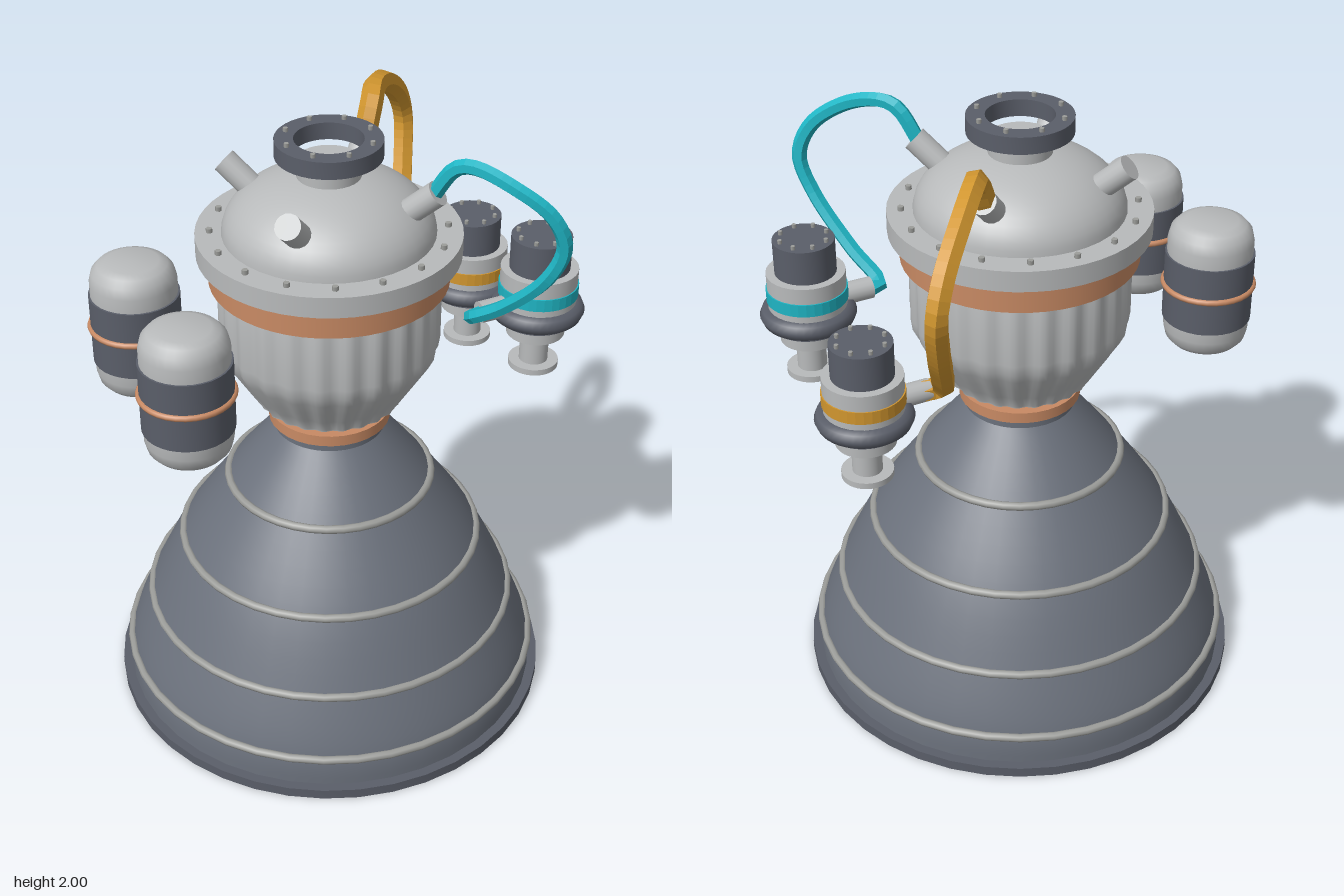
import * as THREE from 'three';
import { toCreasedNormals } from 'three/addons/utils/BufferGeometryUtils.js';

const mat = (name, color, extra = {}) => new THREE.MeshStandardMaterial({ name, color, ...extra });

export function createModel() {
  const M = {
    bell: mat('nozzle grey', 0x6b717c, { side: THREE.DoubleSide }),
    dark: mat('dark metal', 0x5a5e69),
    silver: mat('silver', 0xb8babb),
    steel: mat('steel', 0x9c9d9a),
    copper: mat('copper', 0xc88a64),
    cyan: mat('cyan', 0x1fb5c4, { flatShading: true }),
    amber: mat('amber', 0xd1962f, { flatShading: true }),
  };
  const model = new THREE.Group();
  model.name = 'rocketEngine';
  const engine = new THREE.Group();
  engine.name = 'mainEngine';
  engine.position.x = -0.025;
  model.add(engine);

  const add = (parent, name, geo, material, x = 0, y = 0, z = 0) => {
    const mesh = new THREE.Mesh(geo, material);
    mesh.name = name;
    mesh.position.set(x, y, z);
    parent.add(mesh);
    return mesh;
  };
  // Upright cylinder between two heights
  const cyl = (parent, name, r, y0, y1, material, rBottom = r, seg = 32) =>
    add(parent, name, new THREE.CylinderGeometry(r, rBottom, y1 - y0, seg), material, 0, (y0 + y1) / 2, 0);
  const lathe = (pts, seg = 40, crease = 0.6) =>
    toCreasedNormals(new THREE.LatheGeometry(pts.map(([r, y]) => new THREE.Vector2(r, y)), seg), crease);
  const hoop = (parent, name, r, tube, y, material, seg = 40) => {
    const mesh = add(parent, name, new THREE.TorusGeometry(r, tube, 8, seg), material, 0, y, 0);
    mesh.rotation.x = Math.PI / 2;
    return mesh;
  };
  const bolts = (parent, name, count, radius, y, r, h) => {
    for (let i = 0; i < count; i++) {
      const a = (i / count) * Math.PI * 2;
      add(parent, name, new THREE.CylinderGeometry(r, r, h, 6), M.steel,
        radius * Math.cos(a), y + h / 2, radius * Math.sin(a));
    }
  };
  const rod = (parent, name, from, to, r, material) => {
    const a = new THREE.Vector3(...from), b = new THREE.Vector3(...to);
    const d = b.clone().sub(a);
    const mesh = add(parent, name, new THREE.CylinderGeometry(r, r, d.length(), 16), material);
    mesh.position.copy(a).add(b).multiplyScalar(0.5);
    mesh.quaternion.setFromUnitVectors(new THREE.Vector3(0, 1, 0), d.normalize());
  };

  // Nozzle bell, open at the bottom
  const bellCurve = new THREE.SplineCurve([[0.7, 0.02], [0.687, 0.14], [0.61, 0.33], [0.493, 0.56],
    [0.333, 0.79], [0.18, 0.985]].map(([x, y]) => new THREE.Vector2(x, y)));
  const bellPts = bellCurve.getPoints(24).map((p) => [p.x, p.y]);
  add(engine, 'nozzleBell', lathe([...bellPts, [0.18, 1.015], [0.1, 1.015]]), M.bell);
  add(engine, 'nozzleLip', lathe([[0.685, 0], [0.73, 0], [0.73, 0.035], [0.685, 0.035], [0.685, 0]]), M.dark);
  for (const [r, y] of [[0.692, 0.135], [0.61, 0.33], [0.493, 0.56], [0.333, 0.79]])
    hoop(engine, 'nozzleHoop', r, 0.014, y, M.steel);

  // Copper throat
  cyl(engine, 'throatRing', 0.196, 1.015, 1.052, M.copper);
  cyl(engine, 'throatCone', 0.175, 1.052, 1.1, M.copper, 0.145);

  // Fluted combustion chamber
  const chamber = new THREE.LatheGeometry([[0.14, 1.095], [0.228, 1.095], [0.229, 1.1], [0.26, 1.15], [0.29, 1.2],
    [0.32, 1.25], [0.337, 1.285], [0.342, 1.32], [0.342, 1.51], [0.338, 1.53]]
    .map(([r, y]) => new THREE.Vector2(r, y)), 144);
  const pos = chamber.attributes.position;
  for (let i = 0; i < pos.count; i++) {
    const x = pos.getX(i), z = pos.getZ(i);
    const s = 1 + 0.018 * Math.cos(24 * Math.atan2(z, x));
    pos.setX(i, x * s);
    pos.setZ(i, z * s);
  }
  add(engine, 'combustionChamber', toCreasedNormals(chamber, 0.7), M.silver);

  // Injector band, bolted flange and dome
  cyl(engine, 'injectorBand', 0.372, 1.525, 1.615, M.copper, 0.372, 48);
  cyl(engine, 'injectorFlange', 0.407, 1.615, 1.682, M.silver, 0.407, 48);
  bolts(engine, 'flangeBolt', 16, 0.362, 1.682, 0.01, 0.014);
  const dome = [];
  for (let i = 0; i <= 14; i++) {
    const a = (i / 14) * Math.PI / 2;
    dome.push([0.327 * Math.cos(a), 1.68 + 0.195 * Math.sin(a)]);
  }
  add(engine, 'dome', lathe(dome), M.silver);
  cyl(engine, 'domeNeck', 0.098, 1.84, 1.915, M.silver);
  add(engine, 'topFlange',
    lathe([[0.105, 1.93], [0.163, 1.93], [0.163, 1.984], [0.105, 1.984], [0.105, 1.93]]), M.dark);
  bolts(engine, 'topFlangeBolt', 8, 0.136, 1.984, 0.008, 0.012);
  for (const sx of [-1, 1]) for (const sz of [-1, 1])
    rod(engine, 'domePort', [sx * 0.14, 1.74, sz * 0.14], [sx * 0.24, 1.86, sz * 0.235], 0.04, M.silver);

  // Turbopumps, each with its own band colour
  const pump = (name, y, z, accent) => {
    const g = new THREE.Group();
    g.name = name;
    g.position.set(0.6, y, z);
    model.add(g);
    cyl(g, 'pumpMotor', 0.095, 0.14, 0.255, M.dark);
    bolts(g, 'motorBolt', 8, 0.075, 0.255, 0.007, 0.012);
    cyl(g, 'pumpBody', 0.122, -0.01, 0.145, M.silver);
    cyl(g, 'pumpColourBand', 0.126, 0.052, 0.093, accent);
    hoop(g, 'pumpVolute', 0.12, 0.03, 0, M.dark);
    cyl(g, 'voluteBase', 0.12, -0.038, 0, M.dark);
    cyl(g, 'pumpLowerBody', 0.093, -0.09, -0.035, M.silver);
    cyl(g, 'inletPipe', 0.046, -0.2, -0.08, M.silver);
    cyl(g, 'inletFlange', 0.08, -0.212, -0.192, M.silver);
    rod(g, 'outletStub', [-0.21, 0.03, 0], [-0.08, 0.03, 0], 0.035, M.silver);
  };
  pump('frontPump', 1.367, 0.213, M.cyan);
  pump('rearPump', 1.235, -0.213, M.amber);

  // Feed pipes from dome ports to pumps
  const pipe = (name, pts, r, material) => add(model, name, new THREE.TubeGeometry(
    new THREE.CatmullRomCurve3(pts.map((p) => new THREE.Vector3(...p))), 40, r, 6), material);
  pipe('frontFeedPipe', [[0.2, 1.84, 0.22], [0.25, 1.95, 0.275], [0.285, 1.965, 0.32], [0.36, 1.93, 0.42],
    [0.45, 1.85, 0.49], [0.49, 1.75, 0.505], [0.465, 1.63, 0.465], [0.4, 1.48, 0.335],
    [0.355, 1.395, 0.22], [0.41, 1.395, 0.213]], 0.024, M.cyan);
  pipe('rearFeedPipe', [[0.2, 1.84, -0.22], [0.245, 1.94, -0.26], [0.285, 1.96, -0.32], [0.38, 1.915, -0.43],
    [0.47, 1.82, -0.515], [0.505, 1.72, -0.54], [0.475, 1.56, -0.48], [0.41, 1.4, -0.355],
    [0.36, 1.27, -0.225], [0.41, 1.265, -0.213]], 0.036, M.amber);

  // Pressure tanks
  for (const z of [-0.213, 0.213]) {
    const g = new THREE.Group();
    g.name = 'pressureTank';
    g.position.set(-0.585, 1.383, z);
    model.add(g);
    const half = [[0, 0.218], [0.082, 0.218], [0.108, 0.208], [0.127, 0.187], [0.135, 0.155], [0.135, 0.1]];
    const profile = [...half.map(([r, y]) => [r, -y]), ...half.slice().reverse()];
    add(g, 'tankShell', lathe(profile, 32), M.silver);
    cyl(g, 'tankSleeve', 0.141, -0.118, 0.11, M.dark);
    hoop(g, 'tankStrap', 0.141, 0.01, 0, M.copper, 32);
  }
  return model;
}
